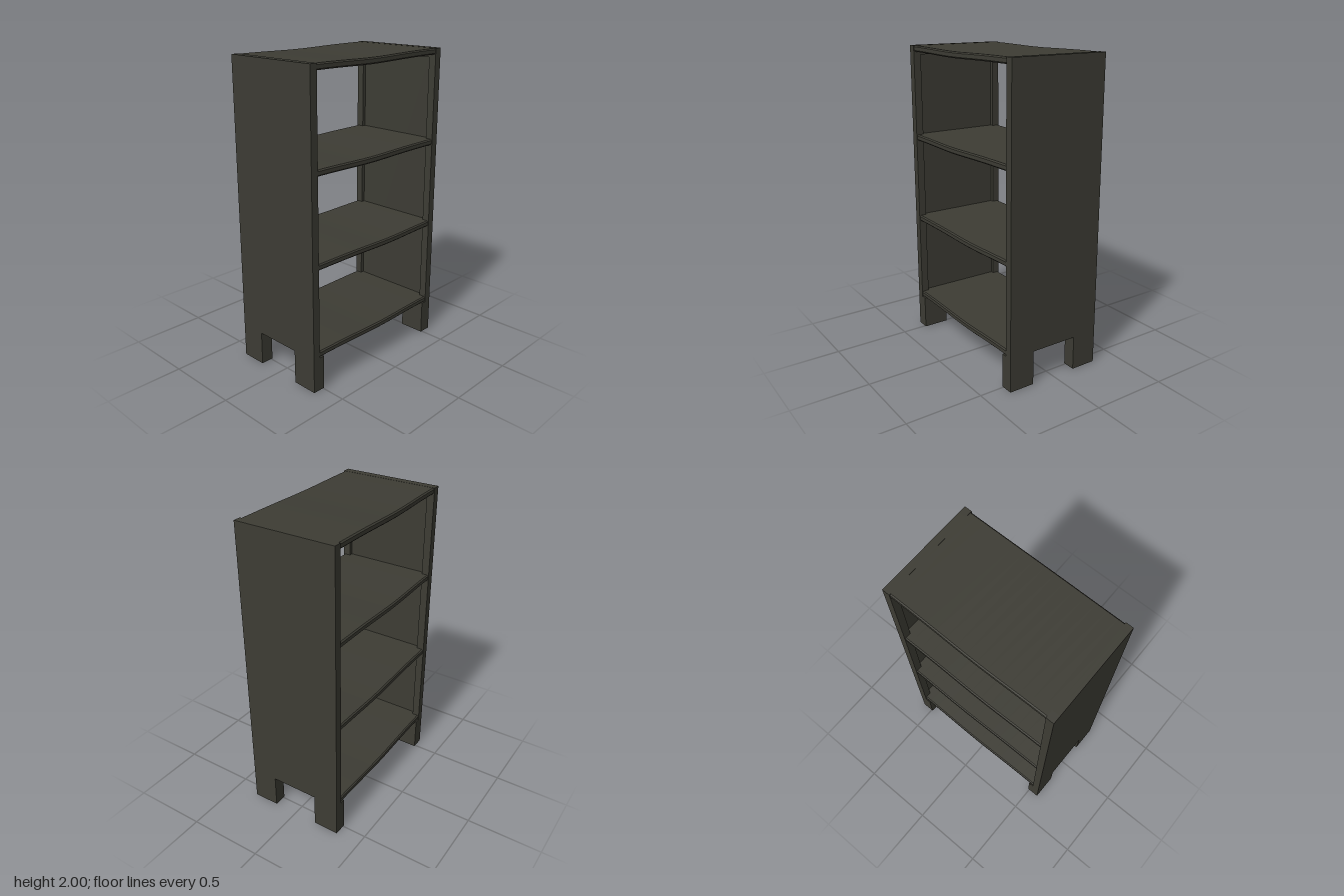
import * as THREE from 'three';

const wood = new THREE.MeshStandardMaterial({ color: 0x3d3c34 });
wood.name = 'dark wood';

// Box given by its minimum and maximum corners
function box(name, x0, x1, y0, y1, z0, z1) {
  const mesh = new THREE.Mesh(new THREE.BoxGeometry(x1 - x0, y1 - y0, z1 - z0), wood);
  mesh.position.set((x0 + x1) / 2, (y0 + y1) / 2, (z0 + z1) / 2);
  mesh.name = name;
  return mesh;
}

// Board with chamfered long edges, sagging gently around x = dip
function shelf(name, y0, y1, halfWidth, dip, sag) {
  const d = 0.333, c = 0.008;
  const profile = new THREE.Shape([
    [-d + c, y0], [d - c, y0], [d, y0 + c], [d, y1 - c],
    [d - c, y1], [-d + c, y1], [-d, y1 - c], [-d, y0 + c],
  ].map(([z, y]) => new THREE.Vector2(-z, y)));
  const geo = new THREE.ExtrudeGeometry(profile, { depth: halfWidth * 2, steps: 16, bevelEnabled: false });
  geo.translate(0, 0, -halfWidth);
  geo.rotateY(Math.PI / 2);
  const p = geo.attributes.position;
  for (let i = 0; i < p.count; i++) {
    const x = p.getX(i);
    const edge = Math.max(0, 1 - (x / halfWidth) ** 2);
    const bend = edge * Math.exp(-(((x - dip) / 0.3) ** 2));
    p.setY(i, p.getY(i) - sag * bend);
    p.setZ(i, p.getZ(i) * (0.988 + 0.012 * bend));
  }
  geo.computeVertexNormals();
  const mesh = new THREE.Mesh(geo, wood);
  mesh.name = name;
  return mesh;
}

export function createModel() {
  const model = new THREE.Group();
  model.name = 'bookcase';
  const W = 0.575, D = 0.333, inner = 0.525, panelIn = 0.55, base = 0.225;

  // Shelves: bottom height, dip position
  const boards = [[0.225, 0.05], [0.8, 0.15], [1.372, -0.1], [1.96, -0.08]];
  boards.forEach(([y, dip], i) =>
    model.add(shelf(i === 3 ? 'topBoard' : 'shelf', y, y + 0.039, panelIn, dip, 0.007)));

  // Sides, mirrored left and right
  for (const s of [1, -1]) {
    const side = new THREE.Group();
    side.name = s > 0 ? 'leftSide' : 'rightSide';
    const add = (name, xa, xb, ...rest) =>
      side.add(box(name, Math.min(s * xa, s * xb), Math.max(s * xa, s * xb), ...rest));

    add('sidePanel', panelIn, W, base, 2, -D + 0.05, D - 0.05);
    // Rails under the boards, filling the recess between the posts
    for (const [y] of boards.slice(1)) add('shelfRail', inner, panelIn, y - 0.02, y + 0.01, -D + 0.05, D - 0.05);
    add('topRail', inner, panelIn, 1.97, 2, -D + 0.05, D - 0.05);

    for (const f of [1, -1]) {
      const span = (a, b) => [Math.min(f * a, f * b), Math.max(f * a, f * b)];
      add('cornerPost', inner, W, base, 2, ...span(D - 0.05, D));
      add('leg', 0.49, W, 0, base, ...span(0.16, D));
    }
    model.add(side);
  }
  return model;
}
